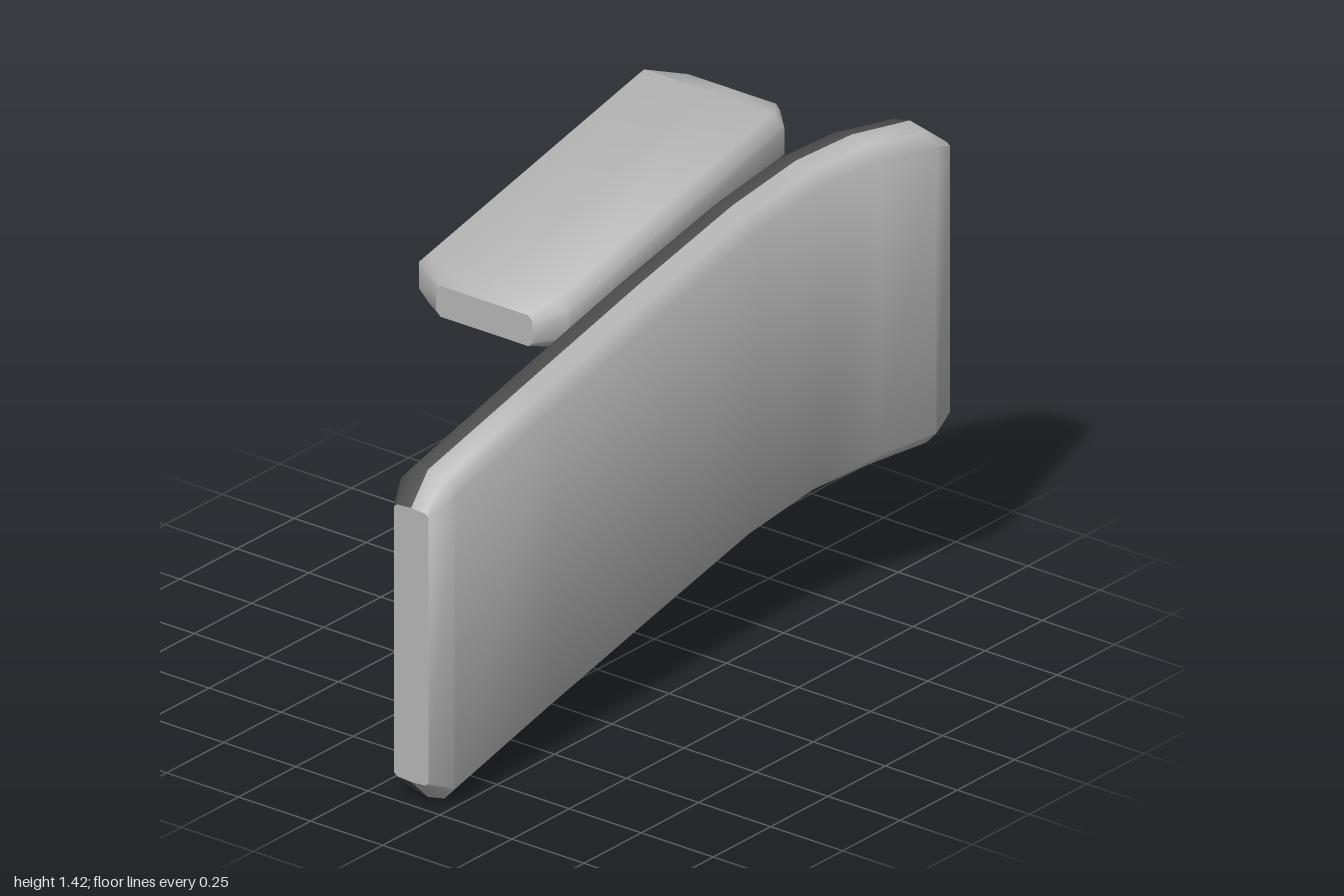
import * as THREE from 'three';
import { toCreasedNormals } from 'three/addons/utils/BufferGeometryUtils.js';

const light = new THREE.MeshStandardMaterial({ color: 0xb2b2b2 });
light.name = 'lightGrey';
const dark = new THREE.MeshStandardMaterial({ color: 0x4c4c4c });
dark.name = 'darkGrey';

const RING = 10;

// Bevelled cross-section at x: top ridge, round the front, bottom ridge, round the back
function section(x, zBack, zFront, y0, y1, bevelY, bevelZ, drop) {
  const zm = (zBack + zFront) / 2;
  return [
    [y1, zm], [y1 - drop, zFront - bevelZ], [y1 - bevelY, zFront],
    [y0 + bevelY, zFront], [y0 + drop, zFront - bevelZ],
    [y0, zm], [y0 + drop, zBack + bevelZ], [y0 + bevelY, zBack],
    [y1 - bevelY, zBack], [y1 - drop, zBack + bevelZ],
  ].map(([y, z]) => [x, y, z]);
}

// Skin over the sections: group 0 is the front half, group 1 the back half
function skin(sections) {
  const index = [];
  const g = new THREE.BufferGeometry();
  [[0, 5], [5, 10]].forEach(([from, to], half) => {
    const start = index.length;
    for (let i = 0; i < sections.length - 1; i++) {
      for (let j = from; j < to; j++) {
        const a = i * RING + j, b = i * RING + (j + 1) % RING;
        index.push(a, b, a + RING, b, b + RING, a + RING);
      }
    }
    g.addGroup(start, index.length - start, half);
  });
  g.setAttribute('position', new THREE.Float32BufferAttribute(sections.flat(2), 3));
  g.setIndex(index);
  return toCreasedNormals(g, 0.95);
}

// Flat end face
function cap(ring, flip) {
  const index = [];
  for (let i = 1; i < RING - 1; i++) {
    index.push(0, flip ? i + 1 : i, flip ? i : i + 1);
  }
  const g = new THREE.BufferGeometry();
  g.setAttribute('position', new THREE.Float32BufferAttribute(ring.flat(), 3));
  g.setIndex(index);
  g.computeVertexNormals();
  return g;
}

function slab(name, sections, frontMaterial, backMaterial) {
  const group = new THREE.Group();
  group.name = name;
  const add = (part, geometry, material) => {
    const mesh = new THREE.Mesh(geometry, material);
    mesh.name = name + part;
    group.add(mesh);
  };
  add('Body', skin(sections), [frontMaterial, backMaterial]);
  add('RightEnd', cap(sections[0], true), light);
  add('LeftEnd', cap(sections[sections.length - 1], false), light);
  return group;
}

export function createModel() {
  const model = new THREE.Group();
  model.name = 'slantedPanelWithLedge';

  // Upright panel: x, back z, front z, bottom y, top y; it curls forward at the left
  const panel = [
    [-0.93, 0.06, 0.245, 0.0, 0.98],
    [-0.5, 0.053, 0.245, 0.105, 1.08],
    [0, 0.05, 0.24, 0.215, 1.195],
    [0.4, 0.058, 0.243, 0.308, 1.287],
    [0.64, 0.085, 0.275, 0.363, 1.343],
    [0.8, 0.15, 0.342, 0.40, 1.382],
    [0.94, 0.245, 0.43, 0.44, 1.40],
  ].map(([x, zb, zf, y0, y1]) => section(x, zb, zf, y0, y1, 0.05, 0.035, 0.012));
  panel.unshift(section(-1, 0.09, 0.21, 0.07, 0.89, 0.012, 0.012, 0.003));
  panel.push(section(1, 0.33, 0.43, 0.52, 1.34, 0.012, 0.012, 0.003));
  model.add(slab('panel', panel, light, dark));

  // Ledge behind the top edge, following the same slope
  const slope = 0.224;
  const ledgeSection = (x, zb, zf, half, bevel) => {
    const y = 1.365 + (x - 0.78) * slope;
    return section(x, zb, zf, y - half, y + half, bevel, bevel, 0);
  };
  model.add(slab('ledge', [
    ledgeSection(-0.3, -0.32, 0.015, 0.046, 0.015),
    ledgeSection(-0.23, -0.435, 0.085, 0.073, 0.033),
    ledgeSection(0.71, -0.435, 0.085, 0.073, 0.033),
    ledgeSection(0.78, -0.32, 0.015, 0.046, 0.015),
  ], light, light));

  return model;
}
